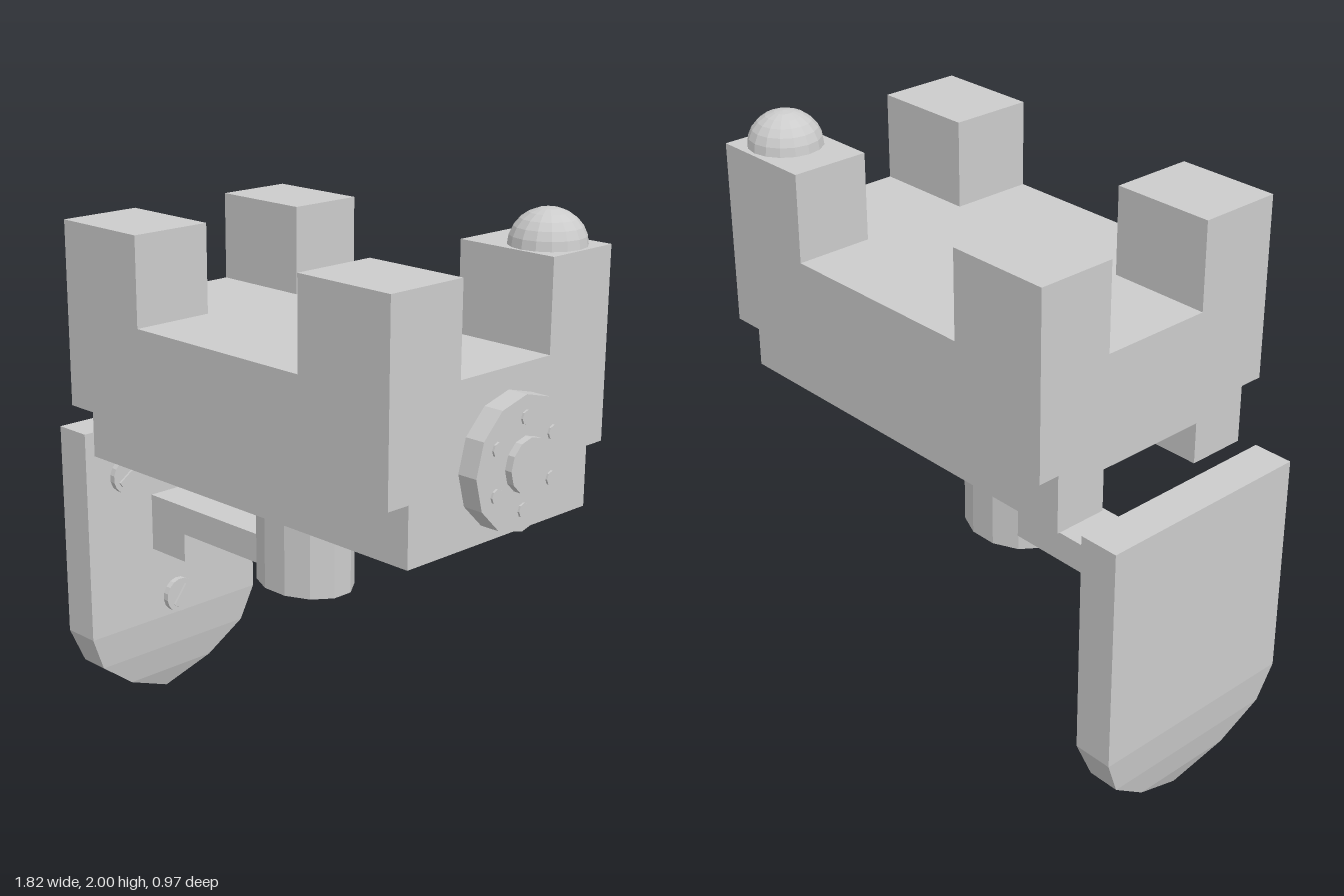
import * as THREE from 'three';

const grey = new THREE.MeshStandardMaterial({ color: 0xcccccc, flatShading: true, side: THREE.DoubleSide });

export function createModel() {
  const model = new THREE.Group();

  const add = (name, geometry, x = 0, y = 0, z = 0, parent = model) => {
    const mesh = new THREE.Mesh(geometry, grey);
    mesh.name = name;
    mesh.position.set(x, y, z);
    parent.add(mesh);
    return mesh;
  };

  // Box given by its limits on each axis
  const block = (name, [x0, x1], [y0, y1], [z0, z1]) =>
    add(name, new THREE.BoxGeometry(x1 - x0, y1 - y0, z1 - z0), (x0 + x1) / 2, (y0 + y1) / 2, (z0 + z1) / 2);

  // Cylinder lying along x, starting at x = 0
  const disc = (r, length, sides) =>
    new THREE.CylinderGeometry(r, r, length, sides).rotateZ(-Math.PI / 2).translate(length / 2, 0, 0);

  // Skin over rings of equal point count, listed from bottom to top, with end caps
  const loft = (rings) => {
    const n = rings[0].length;
    const index = [];
    for (let r = 0; r < rings.length - 1; r++) {
      for (let i = 0; i < n; i++) {
        const a = r * n + i, b = r * n + (i + 1) % n;
        index.push(a, a + n, b, b, a + n, b + n);
      }
    }
    const top = (rings.length - 1) * n;
    for (let i = 1; i < n - 1; i++) index.push(0, i, i + 1, top, top + i + 1, top + i);
    const geometry = new THREE.BufferGeometry();
    geometry.setAttribute('position', new THREE.Float32BufferAttribute(rings.flat(2), 3));
    geometry.setIndex(index);
    const flat = geometry.toNonIndexed();
    flat.computeVertexNormals();
    return flat;
  };

  // Main block with four corner posts
  block('mainBlock', [-0.665, 0.81], [1.255, 1.585], [-0.485, 0.485]);
  for (const x of [[-0.665, -0.3], [0.44, 0.81]]) {
    for (const z of [[-0.485, -0.21], [0.19, 0.485]]) block('cornerPost', x, [1.585, 1.885], z);
  }

  // Narrower base, with a slot under its -x end
  block('base', [-0.1, 0.81], [1.055, 1.255], [-0.41, 0.4]);
  block('slotRoof', [-0.665, -0.1], [1.2, 1.255], [-0.41, 0.4]);
  for (const z of [[-0.41, -0.22], [0.19, 0.4]]) block('slotRail', [-0.665, -0.1], [1.055, 1.2], z);

  // Dome on the rear left post
  add('dome', new THREE.SphereGeometry(0.125, 16, 6, 0, Math.PI * 2, 0, Math.PI / 2).scale(1, 0.92, 1), 0.675, 1.885, -0.345);

  // Side knob with hub and a ring of studs
  const knob = new THREE.Group();
  knob.name = 'knob';
  knob.position.set(0.81, 1.3, -0.025);
  model.add(knob);
  add('knobDisc', disc(0.215, 0.07, 12), 0, 0, 0, knob);
  add('knobHub', disc(0.088, 0.095, 12), 0, 0, 0, knob);
  for (let i = 0; i < 6; i++) {
    const a = (i * Math.PI) / 3;
    add('knobStud', disc(0.024, 0.077, 8), 0, 0.145 * Math.cos(a), 0.145 * Math.sin(a), knob);
  }

  // Bent oval post flaring into a wide flange: y, centre x, radius x, radius z
  const sections = [
    [0.65, -0.067, 0.188, 0.148],
    [0.95, -0.067, 0.188, 0.148],
    [1.035, -0.017, 0.188, 0.148],
    [1.055, 0.075, 0.465, 0.255],
  ];
  add('post', loft(sections.map(([y, cx, rx, rz]) =>
    Array.from({ length: 12 }, (_, i) => {
      const a = ((i + 0.5) * Math.PI) / 6;
      return [cx + rx * Math.cos(a), y, -0.027 + rz * Math.sin(a)];
    }))));

  // Arm from the post to the plate
  block('arm', [-0.77, -0.2], [0.705, 0.81], [-0.135, 0.073]);
  block('armFoot', [-0.77, -0.59], [0.6, 0.705], [-0.135, 0.073]);

  // Plate tapering to a point at the bottom: y, half thickness, half width
  const plate = [
    [0, 0.002, 0.002],
    [0.08, 0.033, 0.19],
    [0.19, 0.056, 0.335],
    [0.32, 0.07, 0.388],
    [1.1, 0.07, 0.388],
  ];
  add('plate', loft(plate.map(([y, t, w]) =>
    [[1, 1], [-1, 1], [-1, -1], [1, -1]].map(([sx, sz]) => [-0.84 + sx * t, y, -0.027 - sz * -w]))));

  // Slotted screws on the inner face of the plate
  for (const [y, z, tilt] of [[0.92, 0.2, 0.6], [0.925, -0.297, 0.5], [0.4, -0.027, 0.9]]) {
    const screw = new THREE.Group();
    screw.name = 'screw';
    screw.position.set(-0.775, y, z);
    screw.rotation.x = tilt;
    model.add(screw);
    add('screwShank', disc(0.035, 0.02, 12), 0, 0, 0, screw);
    add('screwHead', disc(0.065, 0.022, 16), 0.015, 0, 0, screw);
    add('screwBar', new THREE.BoxGeometry(0.01, 0.02, 0.09), 0.04, 0, 0, screw);
  }

  return model;
}
